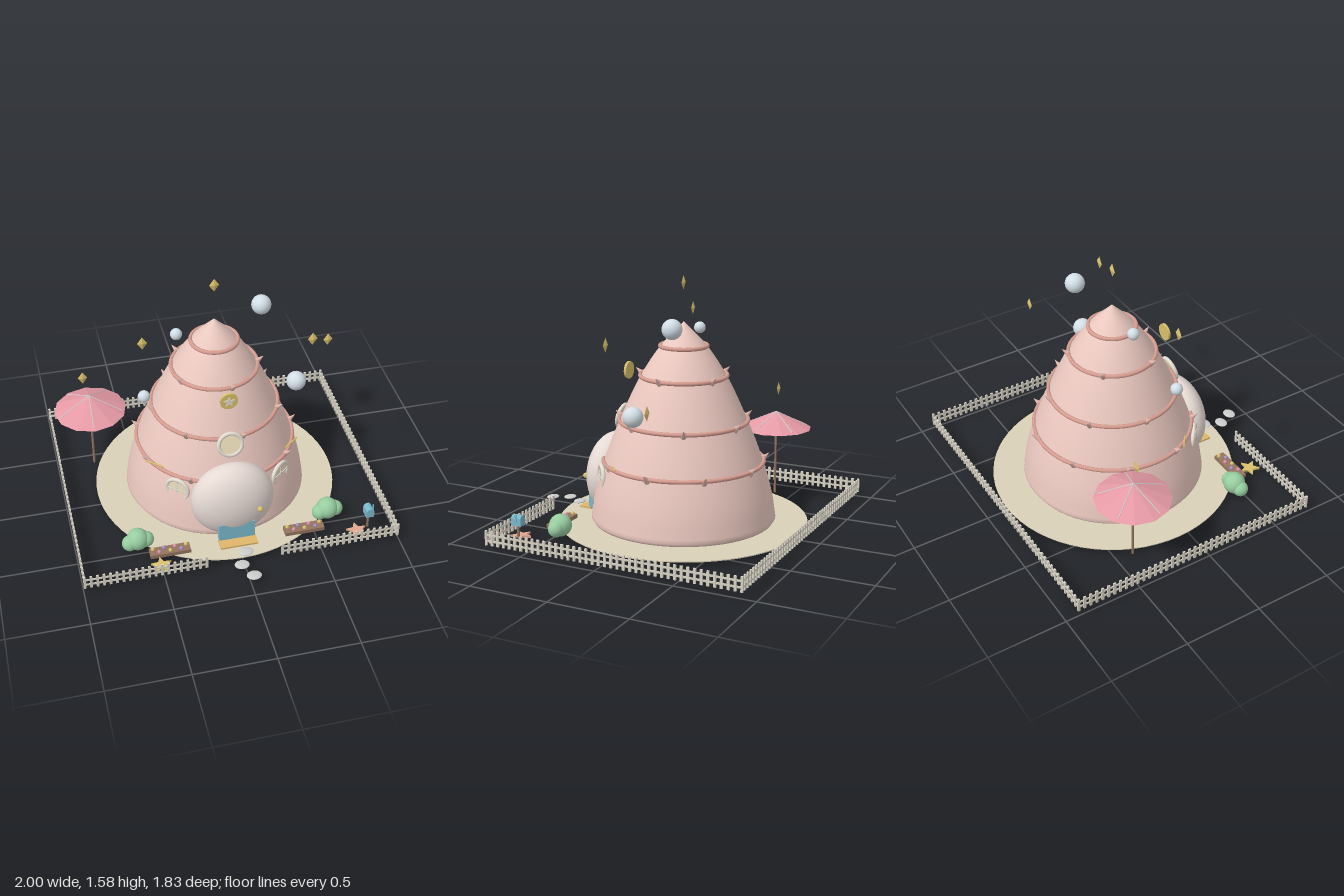
import * as THREE from 'three';

const CZ = -0.08; // house axis
const V = (x, y, z) => new THREE.Vector3(x, y, z);
const mat = (color, extra = {}) => new THREE.MeshStandardMaterial({ color, ...extra });
const M = {
  wall: mat(0xeac8bf), ring: mat(0xd69c90), spike: mat(0xdcb4aa), sand: mat(0xd9d0b8),
  shell: mat(0xe6dad4), frame: mat(0xe3dcd0), glass: mat(0xefe2bd), gold: mat(0xd8c06a),
  gem: mat(0xd8c06a, { flatShading: true }), blue: mat(0x7ab9cc), mat: mat(0xdfb66a),
  leaf: mat(0x97cda0), wood: mat(0x94745f), fence: mat(0xd8d2c4), stone: mat(0xcccccc),
  canopy: mat(0xe59aa5, { flatShading: true, side: THREE.DoubleSide }),
  bubble: mat(0xd3dfe6), coral: mat(0xe2a58e), pink: mat(0xd98fa8), violet: mat(0xa58fc4),
};

export function createModel() {
  const root = new THREE.Group();
  const add = (name, geo, material, x = 0, y = 0, z = 0, parent = root) => {
    const m = new THREE.Mesh(geo, material);
    m.name = name;
    m.position.set(x, y, z);
    parent.add(m);
    return m;
  };
  const group = (name, x = 0, y = 0, z = 0) => {
    const g = new THREE.Group();
    g.name = name;
    g.position.set(x, y, z);
    root.add(g);
    return g;
  };
  const box = (w, h, d) => new THREE.BoxGeometry(w, h, d);
  const ball = (r) => new THREE.SphereGeometry(r, 24, 16);
  const rod = (name, a, b, r, material, parent = root) => {
    const d = b.clone().sub(a), mid = a.clone().add(b).multiplyScalar(0.5);
    const m = add(name, new THREE.CylinderGeometry(r, r, d.length(), 8), material, mid.x, mid.y, mid.z, parent);
    m.quaternion.setFromUnitVectors(V(0, 1, 0), d.normalize());
    return m;
  };
  const star = (r, depth) => {
    const s = new THREE.Shape();
    for (let i = 0; i < 10; i++) {
      const a = Math.PI / 2 + i * Math.PI / 5, q = i % 2 ? r * 0.45 : r;
      s[i ? 'lineTo' : 'moveTo'](Math.cos(a) * q, Math.sin(a) * q);
    }
    return new THREE.ExtrudeGeometry(s, { depth, bevelEnabled: false });
  };

  // Ground and conical house
  add('ground', new THREE.CylinderGeometry(0.785, 0.785, 0.006, 64), M.sand, 0, 0.03, CZ);
  const side = new THREE.CatmullRomCurve3([
    [0.582, 0.06], [0.555, 0.22], [0.497, 0.42], [0.396, 0.68], [0.264, 0.96], [0.142, 1.145], [0.001, 1.295],
  ].map(([x, y]) => V(x, y, 0))).getPoints(40).map((p) => new THREE.Vector2(p.x, p.y));
  const base = [[0, 0.012], [0.42, 0.014], [0.53, 0.028], [0.57, 0.042]].map((p) => new THREE.Vector2(...p));
  add('house', new THREE.LatheGeometry([...base, ...side], 64), M.wall, 0, 0, CZ);

  // Ridge rings with outward, upward spikes: [y, radius, count, phase in degrees]
  for (const [y, R, n, phase] of [[0.42, 0.503, 9, 0], [0.68, 0.402, 7, 25.7], [0.96, 0.27, 5, -7], [1.145, 0.146, 0, 0]]) {
    const g = group('ridge', 0, y, CZ);
    add('ridgeRing', new THREE.TorusGeometry(R, 0.013, 10, 64), M.ring, 0, 0, 0, g).rotation.x = Math.PI / 2;
    for (let i = 0; i < n; i++) {
      const a = THREE.MathUtils.degToRad(phase + i * 360 / n);
      const out = V(Math.cos(a), 0, -Math.sin(a));
      const s = add('spike', new THREE.ConeGeometry(0.026, 0.075, 12), M.spike, out.x * (R + 0.012), 0.008, out.z * (R + 0.012), g);
      s.quaternion.setFromUnitVectors(V(0, 1, 0), out.setY(0.85).normalize());
    }
  }

  // Shell porch, door, knob and mat
  add('porch', new THREE.SphereGeometry(1, 48, 32), M.shell, 0, 0.272, 0.41).scale.set(0.265, 0.267, 0.155);
  add('door', box(0.23, 0.125, 0.03), M.blue, 0, 0.107, 0.53);
  add('doorKnob', ball(0.018), M.gold, 0.145, 0.265, 0.548);
  rod('knobStem', V(0.145, 0.23, 0.535), V(0.145, 0.265, 0.545), 0.005, M.gold);
  add('doorMat', box(0.24, 0.012, 0.085), M.mat, 0, 0.04, 0.57);

  // Round windows
  const windowAt = (x, y, z, ry, rx, bars) => {
    const g = group('window', x, y, z);
    g.rotation.set(rx, ry, 0, 'YXZ');
    add('windowFrame', new THREE.TorusGeometry(0.073, 0.013, 12, 40), M.frame, 0, 0, 0, g);
    add('windowGlass', new THREE.CylinderGeometry(0.07, 0.07, 0.012, 40), M.glass, 0, 0, 0, g).rotation.x = Math.PI / 2;
    if (!bars) return;
    add('windowBar', box(0.01, 0.14, 0.01), M.frame, 0, 0, 0.006, g);
    add('windowBar', box(0.14, 0.01, 0.01), M.frame, 0, 0, 0.006, g);
  };
  windowAt(0, 0.655, 0.352, 0, -0.25, false);
  for (const s of [-1, 1]) {
    windowAt(s * 0.33, 0.335, 0.325, s * 0.69, 0, true);
    rod('windowRail', V(s * 0.36, 0.43, 0.235), V(s * 0.49, 0.442, 0.14), 0.006, M.gold);
  }

  // Star medallion
  add('medallion', new THREE.CylinderGeometry(0.055, 0.055, 0.016, 32), M.gold, 0, 0.955, 0.305).rotation.x = Math.PI / 2;
  add('medallionStar', star(0.038, 0.006), M.frame, 0, 0.955, 0.312);

  // Bushes and flower boxes on both sides of the entrance
  for (const s of [-1, 1]) {
    const bush = group('bush', s * 0.615, 0, 0.455);
    add('bushCentre', ball(0.07), M.leaf, 0, 0.09, 0, bush);
    add('bushSide', ball(0.05), M.leaf, -0.052, 0.075, 0.01, bush);
    add('bushSide', ball(0.05), M.leaf, 0.052, 0.08, 0, bush);
    const bed = group('flowerBox', s * 0.432, 0, 0.555);
    add('planter', box(0.255, 0.026, 0.07), M.wood, 0, 0.045, 0, bed);
    for (let i = 0; i < 7; i++)
      add('flower', new THREE.SphereGeometry(0.013, 10, 8), [M.gold, M.pink, M.violet][i % 3],
        -0.105 + i * 0.035, 0.064, i % 2 ? 0.015 : -0.015, bed);
  }

  // Starfish and stepping stones
  add('starfish', star(0.067, 0.014), M.gold, -0.505, 0.032, 0.66).rotation.x = -Math.PI / 2;
  add('starfish', star(0.067, 0.014), M.coral, 0.755, 0.032, 0.645).rotation.x = -Math.PI / 2;
  for (const [x, z] of [[0.025, 0.668], [-0.025, 0.772], [0.025, 0.875]])
    add('steppingStone', ball(1), M.stone, x, 0.042, z).scale.set(0.047, 0.01, 0.038);

  // Mailbox
  const mail = group('mailbox', 0.835, 0, 0.615);
  rod('mailPost', V(0, 0.03, 0), V(0, 0.14, 0), 0.008, M.wood, mail);
  add('mailBody', box(0.052, 0.04, 0.066), M.blue, 0, 0.155, 0, mail);
  add('mailTop', new THREE.CylinderGeometry(0.026, 0.026, 0.066, 20), M.blue, 0, 0.174, 0, mail).rotation.x = Math.PI / 2;
  add('mailFlag', box(0.006, 0.045, 0.012), M.blue, 0.028, 0.183, 0, mail);

  // Parasol
  const parasol = group('parasol', -0.757, 0, -0.4);
  rod('parasolPole', V(0, 0.03, 0), V(0, 0.59, 0), 0.008, M.wood, parasol);
  add('parasolCanopy', new THREE.ConeGeometry(0.235, 0.11, 12, 1, true), M.canopy, 0, 0.54, 0, parasol);
  for (let i = 0; i < 5; i++) {
    const a = 0.35 + i * Math.PI * 0.4;
    rod('parasolRib', V(0, 0.594, 0), V(Math.cos(a) * 0.21, 0.494, Math.sin(a) * 0.21), 0.004, M.stone, parasol);
  }

  // Picket fence with a gap at the entrance
  const fence = (x0, z0, x1, z1) => {
    const len = Math.hypot(x1 - x0, z1 - z0), n = Math.round(len / 0.04);
    const g = group('fence', (x0 + x1) / 2, 0, (z0 + z1) / 2);
    g.rotation.y = -Math.atan2(z1 - z0, x1 - x0);
    for (const y of [0.065, 0.102]) add('fenceRail', box(len, 0.012, 0.006), M.fence, 0, y, 0, g);
    for (let i = 0; i <= n; i++)
      add('picket', box(0.016, 0.09, 0.01), M.fence, -len / 2 + i * len / n, 0.083, 0, g);
  };
  fence(-0.99, -0.91, 0.99, -0.91);
  for (const s of [-1, 1]) {
    fence(s * 0.99, -0.91, s * 0.99, 0.74);
    fence(s * 0.24, 0.74, s * 0.99, 0.74);
  }

  // Floating gems and bubbles
  for (const [x, y, z] of [[0, 1.535, -0.077], [-0.472, 1.3, 0.083], [0.553, 1.22, 0.16], [0.79, 0.905, -0.235], [-0.79, 0.745, -0.4]])
    add('gem', new THREE.OctahedronGeometry(1), M.gem, x, y, z).scale.set(0.031, 0.045, 0.012);
  for (const [x, y, z, r] of [[0.315, 1.3, -0.155, 0.062], [-0.237, 1.22, -0.077, 0.037], [-0.475, 0.905, 0.08, 0.038], [0.512, 0.795, 0.003, 0.062]])
    add('bubble', ball(r), M.bubble, x, y, z);

  return root;
}
